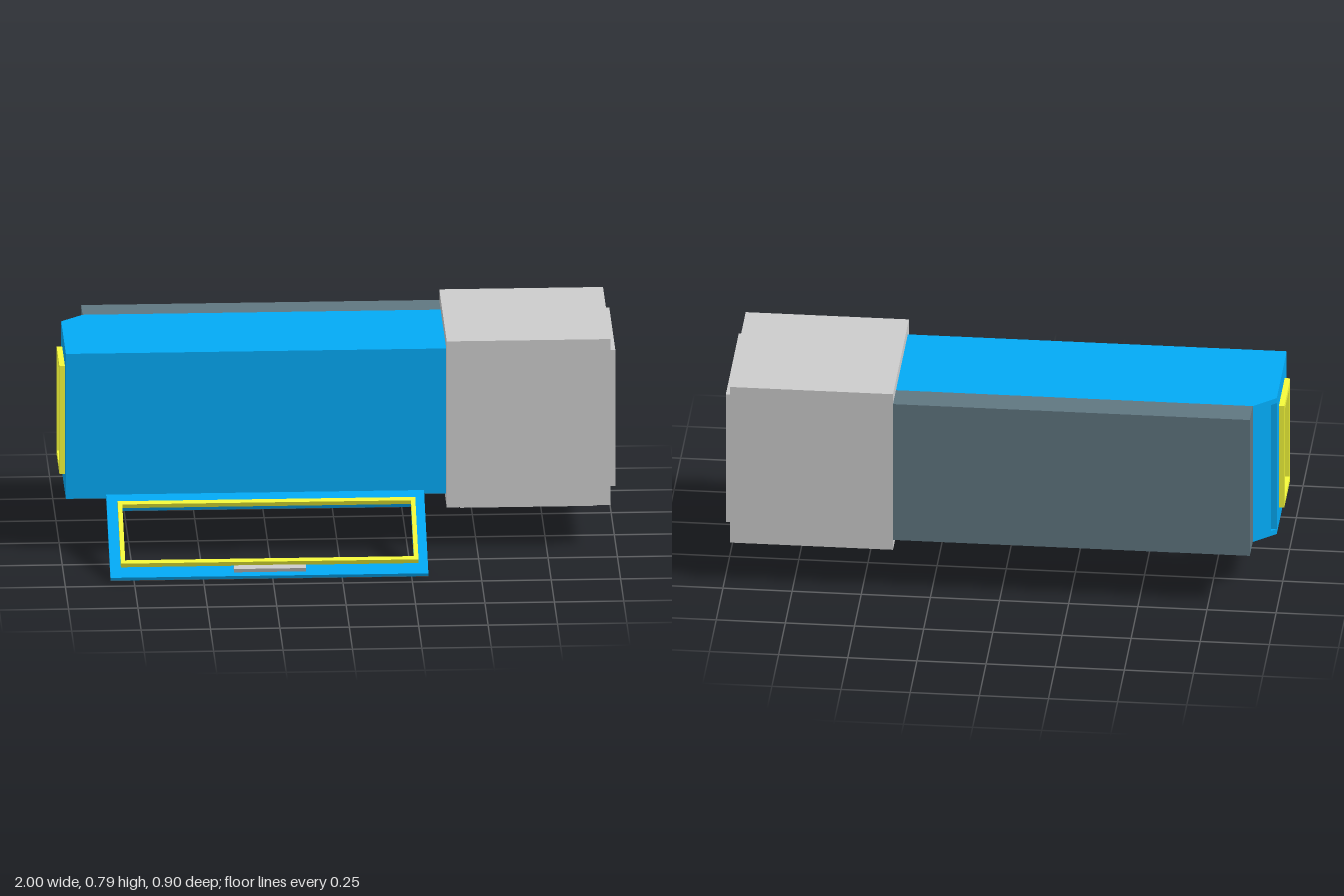
import * as THREE from 'three';

const mat = (color) => new THREE.MeshStandardMaterial({ color, flatShading: true });

export function createModel() {
  const model = new THREE.Group();
  const blue = mat(0x03a9f4), slate = mat(0x5f7680), yellow = mat(0xf4f93a);
  const grey = mat(0xcccccc), dark = mat(0x707070);

  const add = (name, geometry, material, parent = model) => {
    const mesh = new THREE.Mesh(geometry, material);
    mesh.name = name;
    parent.add(mesh);
    return mesh;
  };
  // Box given by its limits on each axis
  const box = (name, material, [x0, x1], [y0, y1], [z0, z1], parent) => {
    const g = new THREE.BoxGeometry(x1 - x0, y1 - y0, z1 - z0);
    g.translate((x0 + x1) / 2, (y0 + y1) / 2, (z0 + z1) / 2);
    return add(name, g, material, parent);
  };
  const rect = (a0, a1, b0, b1) => [[a0, b0], [a1, b0], [a1, b1], [a0, b1]];
  const vecs = (pts) => pts.map(([a, b]) => new THREE.Vector2(a, b));
  // Plate with an optional hole
  const plate = (outer, hole, depth) => {
    const shape = new THREE.Shape(vecs(outer));
    if (hole) shape.holes.push(new THREE.Path(vecs(hole)));
    return new THREE.ExtrudeGeometry(shape, { depth, bevelEnabled: false });
  };
  // Horizontal plate: points are (x, z), spanning y0 to y1
  const flat = (outer, hole, y0, y1) =>
    plate(outer, hole, y1 - y0).rotateX(Math.PI / 2).translate(0, y1, 0);
  // Upright plate facing -x: points are (z, y), spanning x0 to x1
  const upright = (outer, hole, x0, x1) =>
    plate(outer, hole, x1 - x0).rotateY(-Math.PI / 2).translate(x1, 0, 0);

  // Hollow cabinet with one chamfered corner
  const plan = [[-0.98, 0.1], [0.39, 0.1], [0.39, -0.34], [-0.9, -0.34], [-0.98, -0.27]];
  add('cabinetTop', flat(plan, null, 0.73, 0.75), blue);
  add('cabinetBottom', flat(plan, rect(-0.8, 0.28, -0.24, 0.05), 0.2, 0.22), blue);
  // Side walls form an open band, closed by the end wall
  const walls = [[-0.96, 0.1], [0.39, 0.1], [0.39, -0.34], [-0.9, -0.34], [-0.96, -0.2875],
    [-0.96, -0.26], [-0.89, -0.32], [0.37, -0.32], [0.37, 0.08], [-0.96, 0.08]];
  add('cabinetWalls', flat(walls, null, 0.22, 0.73), blue);
  const opening = rect(-0.175, 0.005, 0.292, 0.658);
  add('endWall', upright(rect(-0.27, 0.1, 0.22, 0.73), opening, -0.98, -0.96), blue);
  add('endGasket', upright(rect(-0.195, 0.025, 0.27, 0.68), opening, -1, -0.98), yellow);

  // Back slab, foot and small block inside the bottom opening
  box('backPanel', slate, [-0.9, 0.39], [0.2, 0.75], [-0.45, -0.34]);
  box('bottomVent', slate, [-0.96, -0.86], [0.18, 0.2], [-0.18, 0]);
  box('innerBlock', dark, [0.21, 0.3], [0.205, 0.24], [-0.28, -0.19]);

  // Grey end housing with raised panels
  box('housing', grey, [0.39, 0.98], [0.16, 0.79], [-0.45, 0.14]);
  box('housingEndPanel', grey, [0.98, 1], [0.215, 0.73], [-0.395, 0.087]);
  box('housingBottomPanel', grey, [0.44, 0.92], [0.14, 0.16], [-0.395, 0.087]);

  // Door frame hanging open below the front edge
  const door = new THREE.Group();
  door.name = 'door';
  door.position.set(0, 0.2, 0.094);
  door.rotation.x = Math.PI / 6;
  model.add(door);
  const doorOuter = rect(-0.835, 0.31, 0, 0.4), doorHole = rect(-0.78, 0.26, 0.066, 0.334);
  add('doorSkin', flat(doorOuter, doorHole, 0, 0.002), dark, door);
  add('doorFrame', flat(doorOuter, doorHole, 0.002, 0.017), blue, door);
  add('doorGasket', flat(rect(-0.796, 0.276, 0.05, 0.35), doorHole, 0.017, 0.037), yellow, door);
  box('doorHandle', grey, [-0.39, -0.13], [0.017, 0.035], [0.364, 0.382], door);

  return model;
}
